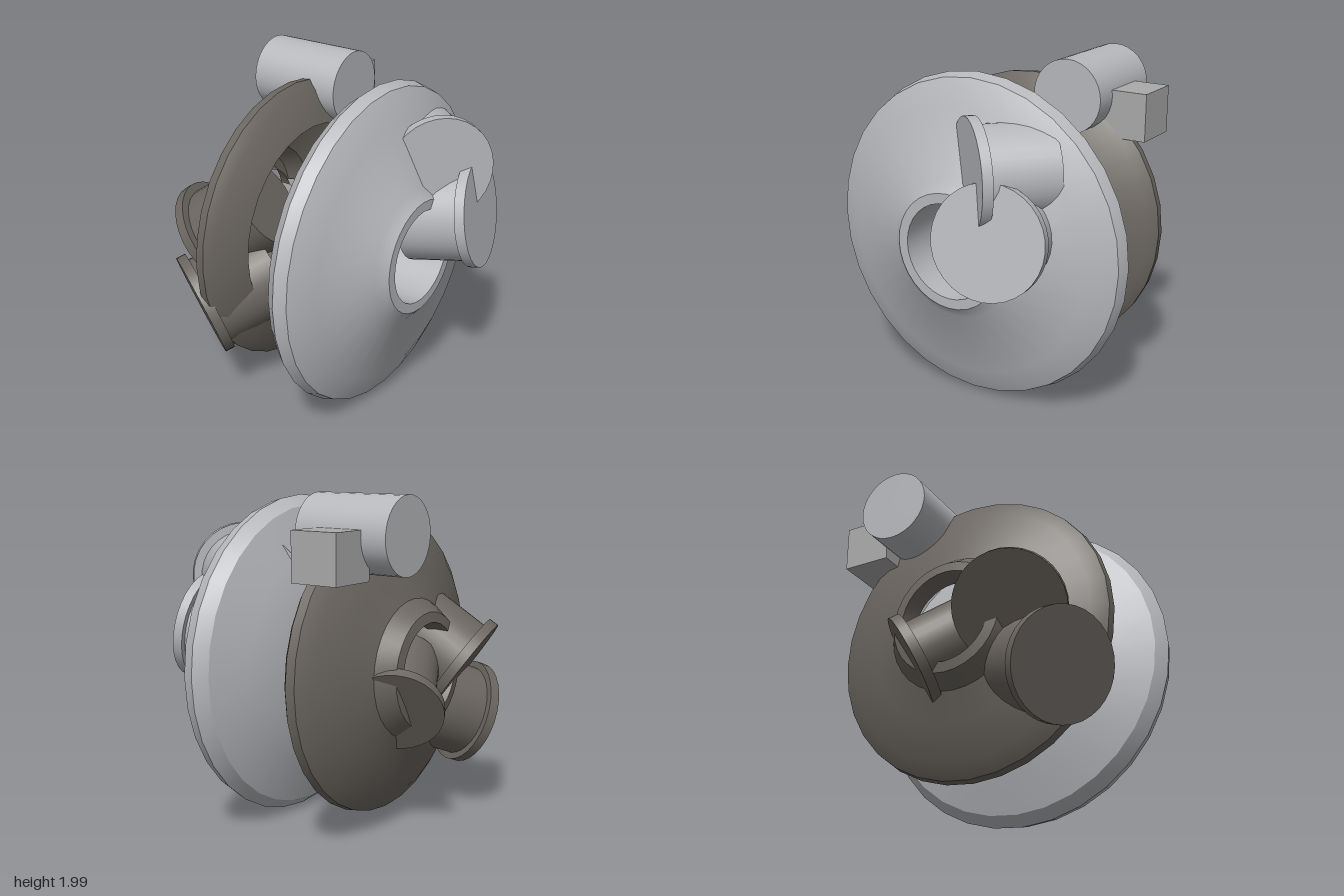
import * as THREE from 'three';
import { toCreasedNormals } from 'three/addons/utils/BufferGeometryUtils.js';

export function createModel() {
  const model = new THREE.Group();
  const mat = (name, color, side = THREE.FrontSide) => {
    const m = new THREE.MeshStandardMaterial({ color, side });
    m.name = name;
    return m;
  };
  const aluminium = mat('aluminium', 0xb6b8bc, THREE.DoubleSide);
  const castIron = mat('cast iron', 0x6b6660, THREE.DoubleSide);
  const zinc = mat('zinc', 0xaaaaaa);
  const AXIS_Y = 0.985;

  const add = (name, geometry, material, x, y, z, parent = model) => {
    const mesh = new THREE.Mesh(geometry, material);
    mesh.name = name;
    mesh.position.set(x, y, z);
    parent.add(mesh);
    return mesh;
  };

  // Revolve a profile of [x, radius] points about the shaft (x) axis
  const revolve = (name, profile, material) => {
    const pts = profile.map(([x, r]) => new THREE.Vector2(r, x));
    const geo = new THREE.LatheGeometry(pts, 32).rotateZ(-Math.PI / 2);
    return add(name, toCreasedNormals(geo, 0.5), material, 0, AXIS_Y, 0);
  };

  // Pipe stub with a round flange; the flange's outer face is at pos, facing dir
  const port = (name, pos, dir, flangeR, pipeR, length, material) => {
    const g = new THREE.Group();
    g.name = name;
    g.position.set(...pos);
    g.quaternion.setFromUnitVectors(new THREE.Vector3(0, 1, 0), new THREE.Vector3(...dir).normalize());
    add('flange', new THREE.CylinderGeometry(flangeR, flangeR, 0.06, 32), material, 0, -0.03, 0, g);
    add('pipe', new THREE.CylinderGeometry(pipeR, pipeR, length, 32), material, 0, -0.03 - length / 2, 0, g);
    model.add(g);
  };

  // Compressor housing: closed ring with a through bore
  revolve('compressorHousing', [
    [0.04, 0.285], [0.04, 0.37], [0.13, 0.67], [0.215, 0.92], [0.29, 0.977], [0.365, 0.955],
    [0.445, 0.8], [0.555, 0.41], [0.61, 0.345], [0.61, 0.285], [0.04, 0.285],
  ], aluminium);

  // Turbine housing: shell open towards the middle
  revolve('turbineHousing', [
    [-0.55, 0.25], [-0.65, 0.28], [-0.64, 0.34], [-0.54, 0.41], [-0.48, 0.58], [-0.41, 0.785],
    [-0.35, 0.87], [-0.295, 0.877], [-0.245, 0.82], [-0.17, 0.63],
  ], castIron);

  // Bearing housing: open tube with oil feed and drain
  revolve('bearingHousing', [
    [-0.18, 0.29], [-0.18, 0.34], [0.05, 0.34], [0.05, 0.29], [-0.18, 0.29],
  ], aluminium);
  add('oilFeed', new THREE.CylinderGeometry(0.044, 0.044, 0.16, 24), aluminium, -0.075, 1.38, 0);
  add('oilDrain', new THREE.CylinderGeometry(0.088, 0.088, 0.18, 24), aluminium, -0.075, 0.58, 0);

  // Compressor ports
  port('compressorInlet', [0.775, 1.17, -0.38], [1, 0.17, -0.23], 0.325, 0.29, 0.4, aluminium);
  port('compressorOutlet', [0.62, 1.47, -0.15], [0.76, 0, 0.65], 0.32, 0.27, 0.43, aluminium);

  // Turbine ports
  port('turbineFrontPort', [-0.53, 0.59, 0.67], [-0.5, -0.35, 0.8], 0.32, 0.28, 0.45, castIron);
  port('turbineSidePort', [-0.645, 0.94, 0.407], [-0.78, -0.58, 0.25], 0.32, 0.27, 0.42, castIron);
  port('turbineRearPort', [-0.58, 0.78, -0.26], [-0.4, -0.48, -0.78], 0.28, 0.22, 0.42, castIron);

  // Actuator canister and its mounting block
  add('actuator', new THREE.CylinderGeometry(0.22, 0.22, 0.595, 32).rotateZ(Math.PI / 2), aluminium, -0.4125, 1.78, -0.34);
  add('actuatorBlock', new THREE.BoxGeometry(0.295, 0.28, 0.295), zinc, -0.4075, 1.68, -0.6275);

  return model;
}
